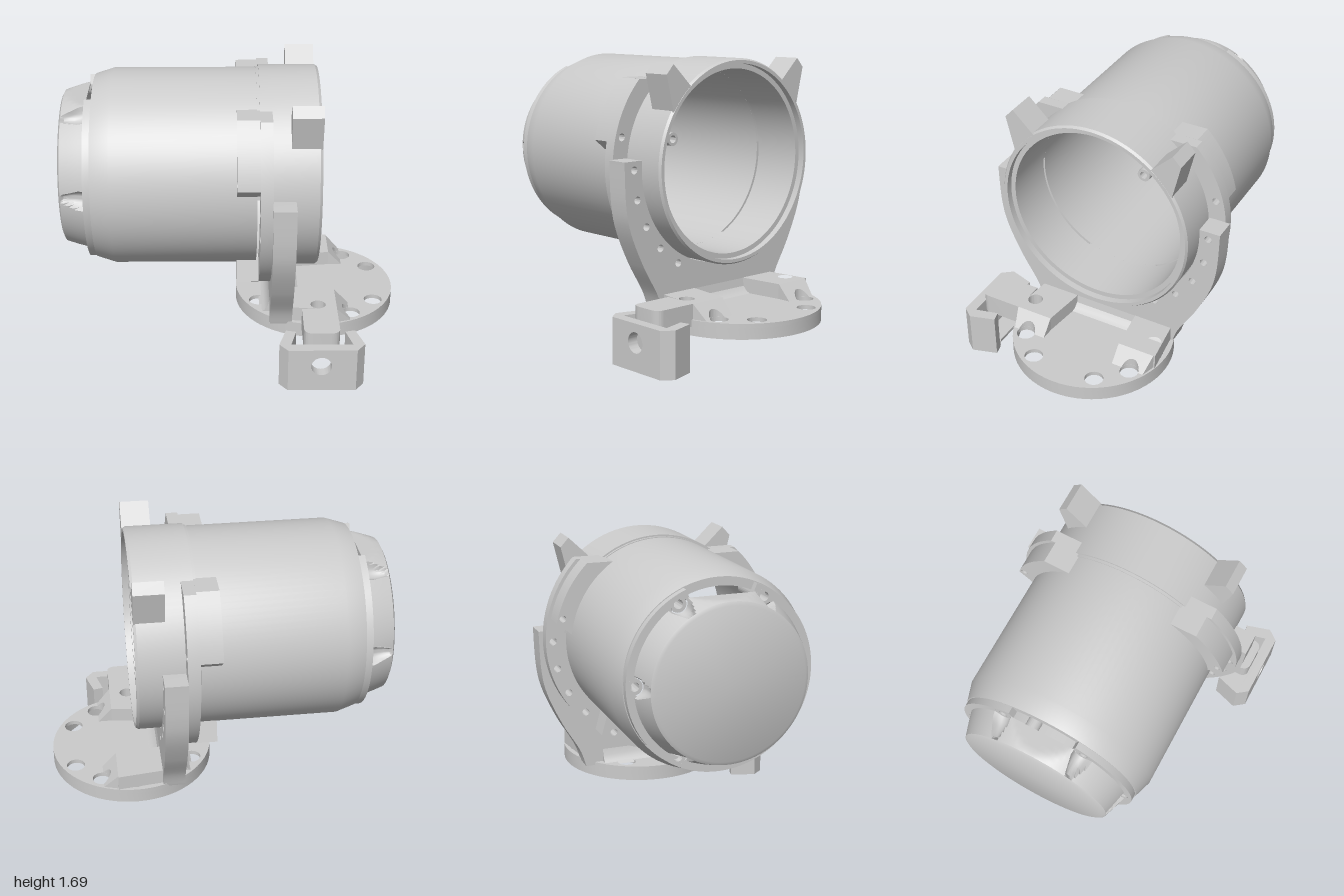
import * as THREE from 'three';
import { toCreasedNormals } from 'three/addons/utils/BufferGeometryUtils.js';

const AXIS_Y = 1.09, AXIS_Z = -0.03, PI = Math.PI;
const deg = (d) => d * PI / 180;
const mat = new THREE.MeshStandardMaterial({ color: 0xcccccc });

function add(parent, name, geo, crease = 0.5) {
  const mesh = new THREE.Mesh(toCreasedNormals(geo, crease), mat);
  mesh.name = name;
  parent.add(mesh);
  return mesh;
}

// Profile of [x, radius] points revolved about the x axis
function turned(points, segments = 96) {
  const pts = points.map(([x, r]) => new THREE.Vector2(r, x));
  return new THREE.LatheGeometry(pts, segments).rotateZ(-PI / 2);
}

// Shape in the cross plane (u across, v up), extruded from x0 to x1
function slab(shape, x0, x1) {
  return new THREE.ExtrudeGeometry(shape, { depth: x1 - x0, bevelEnabled: false, curveSegments: 48 })
    .rotateY(PI / 2).translate(x0, 0, 0);
}

// Shape in plan (x, z), extruded from y0 to y1
function plan(shape, y0, y1) {
  return new THREE.ExtrudeGeometry(shape, { depth: y1 - y0, bevelEnabled: false, curveSegments: 32 })
    .rotateX(PI / 2).translate(0, y1, 0);
}

// Side profile (x, y), extruded from z0 to z1
function prism(points, z0, z1) {
  return new THREE.ExtrudeGeometry(poly(points), { depth: z1 - z0, bevelEnabled: false }).translate(0, 0, z0);
}

function poly(points) {
  return new THREE.Shape(points.map(([a, b]) => new THREE.Vector2(a, b)));
}

function drill(shape, u, v, r) {
  shape.holes.push(new THREE.Path().absarc(u, v, r, 0, 2 * PI, true));
}

function drillCircle(shape, radius, r, angles) {
  for (const a of angles) drill(shape, radius * Math.cos(deg(a)), radius * Math.sin(deg(a)), r);
  return shape;
}

// Ring sector; the inner arc may end at other angles than the outer one
function sector(r0, r1, a0, a1, i0 = a0, i1 = a1) {
  return new THREE.Shape().absarc(0, 0, r1, deg(a0), deg(a1), false).absarc(0, 0, r0, deg(i1), deg(i0), true);
}

function disc(r, inner) {
  const s = new THREE.Shape().absarc(0, 0, r, 0, 2 * PI, false);
  if (inner) drill(s, 0, 0, inner);
  return s;
}

const mirrored = (angles) => [...angles, ...angles.map((a) => 180 - a)];
const screwAngles = [0, 60, 120, 180, 240, 300];

function makeHousing() {
  const g = new THREE.Group();
  g.name = 'housing';
  g.position.set(0, AXIS_Y, AXIS_Z);

  // Rear barrel and front ring, parted by a narrow slit
  add(g, 'barrel', turned([[-0.81, 0.5], [-0.81, 0.55], [-0.7, 0.585], [0.135, 0.585], [0.135, 0.54], [-0.81, 0.54]]));
  add(g, 'frontRing', turned([[0.15, 0.54], [0.15, 0.6], [0.485, 0.6], [0.5, 0.59], [0.5, 0.57],
    [0.46, 0.57], [0.46, 0.54], [0.15, 0.54]]));
  for (const [a0, a1] of [[5, 175], [245, 295]]) add(g, 'slitBridge', slab(sector(0.54, 0.59, a0, a1), 0.134, 0.151));

  // End cap: hollow, flat on top, with six rounded scallops for the screws
  const outer = [[-1, 0], [-1, 0.435], [-0.99, 0.455], [-0.97, 0.462], [-0.94, 0.472], [-0.91, 0.482],
    [-0.88, 0.491], [-0.85, 0.5]];
  const inner = [[-0.85, 0.485], [-0.9, 0.474], [-0.935, 0.455], [-0.955, 0.43], [-0.965, 0.39], [-0.965, 0]];
  const rows = outer.length + inner.length;
  const cap = turned([...outer, ...inner], 300);
  const p = cap.attributes.position;
  for (let i = 0; i < p.count; i++) {
    const x = p.getX(i), isInner = i % rows >= outer.length;
    let y = p.getY(i), z = p.getZ(i);
    const r = Math.hypot(y, z);
    if (r > 0.42) {
      const a = Math.atan2(y, z), step = PI / 3;
      const off = Math.abs(a - Math.round(a / step) * step) * r;
      const width = 0.055 * Math.sqrt(Math.min(1, Math.max(0, (x + 0.99) / 0.1)));
      if (off < width) {
        const k = 1 - Math.sqrt(width * width - off * off) / r;
        y *= k;
        z *= k;
      }
      y = Math.min(y, isInner ? 0.447 : 0.46);
    }
    p.setXYZ(i, x, y, z);
  }
  add(g, 'endCap', cap);

  // Shoulder ring, open at the top, notched around the screws
  const shoulder = new THREE.Shape().absarc(0, 0, 0.545, deg(112), deg(428), false);
  for (let a = 428; a >= 112; a -= 2) {
    const off = Math.abs(a - Math.round(a / 60) * 60);
    const r = off <= 4 ? 0.525 : 0.485;
    shoulder.lineTo(r * Math.cos(deg(a)), r * Math.sin(deg(a)));
  }
  add(g, 'shoulder', slab(shoulder, -0.85, -0.81));
  for (const a of screwAngles) {
    const boss = slab(disc(0.045, 0.026), -0.85, -0.6);
    add(g, 'screwBoss', boss.translate(0, 0.495 * Math.sin(deg(a)), 0.495 * Math.cos(deg(a))));
  }

  // Perforated flange, with thicker pads at the sides and bottom; upper ends are level
  const holes = [15, 0, -15, -30, -45, -60];
  const flange = drillCircle(sector(0.59, 0.705, 136, 404, 124, 416), 0.66, 0.022, mirrored(holes));
  add(g, 'flange', slab(flange, 0.15, 0.22));
  for (const [a0, a1, i0, i1, hole] of [[12, 45.7, 6, 59, 15], [134.3, 168, 121, 174, 165]]) {
    add(g, 'sidePad', slab(drillCircle(sector(0.57, 0.685, a0, a1, i0, i1), 0.655, 0.02, [hole]), 0.02, 0.15));
  }
  const bottom = drillCircle(sector(0.57, 0.71, 235, 305, 230, 310), 0.66, 0.022, [240, 300]);
  add(g, 'bottomPad', slab(bottom, 0.02, 0.15));

  // Two ears on the front ring
  for (const s of [1, -1]) {
    const ear = [[0.5, 0.32], [0.55, 0.53], [0.5, 0.585], [0.37, 0.46]].map(([u, v]) => [u * s, v]);
    add(g, 'ear', slab(poly(ear), 0.325, 0.499), 0.1);
  }
  return g;
}

function makeBracket() {
  const g = new THREE.Group();
  g.name = 'bracket';
  g.position.z = AXIS_Z;

  // U-shaped upright following the front ring
  const a = 0.08;
  const side = [[0.45, -0.85], [0.49, -0.735], [0.595, -0.555], [0.685, -0.355], [0.72, -0.19], [0.73, 0.05]]
    .map(([u, v]) => new THREE.Vector2(u, v));
  const u = new THREE.Shape();
  u.moveTo(side[0].x, side[0].y);
  u.splineThru(side.slice(1));
  u.lineTo(0.64, 0.05);
  u.absarc(0, 0, 0.605, a, PI - a, true);
  u.lineTo(-0.64, 0.05);
  u.lineTo(-0.73, 0.05);
  u.splineThru(side.slice(0, -1).reverse().map((q) => new THREE.Vector2(-q.x, q.y)));
  drillCircle(u, 0.66, 0.022, mirrored([0, -15, -30, -45, -60]));
  add(g, 'upright', slab(u, 0.22, 0.352).translate(0, AXIS_Y, 0));

  // Concave fillets where the upright meets the base
  add(g, 'frontFillet', prism([[0.34, 0.25], [0.43, 0.25], [0.385, 0.27], [0.36, 0.3], [0.35, 0.36]], -0.42, 0.42));
  add(g, 'rearFillet', prism([[0.23, 0.25], [0.22, 0.34], [0.21, 0.3], [0.19, 0.27], [0.16, 0.25]], -0.34, 0.34));

  // Round base: a thin drilled plate with a deep rim
  const bolts = mirrored([30, 60, -30, -60]).concat([90, -90]);
  add(g, 'base', plan(drillCircle(disc(0.49), 0.41, 0.055, bolts), 0.235, 0.26).translate(0.51, 0, 0));
  add(g, 'baseRim', plan(disc(0.49, 0.466), 0.17, 0.24).translate(0.51, 0, 0));

  // Raised bosses; their sloped fronts are cut away around the bolt holes
  for (const s of [1, -1]) {
    const top = poly([[0.34, 0.2 * s], [0.62, 0.235 * s], [0.62, 0.475 * s], [0.34, 0.44 * s]]);
    drill(top, 0.51, 0.41 * s, 0.045);
    add(g, 'baseBoss', plan(top, 0.255, 0.35));

    const wedge = poly([[0.62, 0.235 * s], [0.705, 0.235 * s]]);
    wedge.absarc(0.715, 0.355 * s, 0.056, deg(-100 * s), deg(100 * s), s > 0);
    wedge.lineTo(0.705, 0.44 * s);
    wedge.lineTo(0.62, 0.465 * s);
    const slope = plan(wedge, 0.255, 0.35), p = slope.attributes.position;
    for (let i = 0; i < p.count; i++) {
      if (p.getY(i) > 0.3) p.setY(i, 0.35 - (p.getX(i) - 0.62) * 1.06);
    }
    add(g, 'bossSlope', slope);
  }
  return g;
}

function makeSideClip() {
  const g = new THREE.Group();
  g.name = 'sideClip';

  // Arm reaching out from the base
  const arm = new THREE.Shape();
  arm.moveTo(0.41, 0.43);
  arm.lineTo(0.62, 0.43);
  arm.lineTo(0.62, 0.65);
  arm.quadraticCurveTo(0.62, 0.695, 0.57, 0.7);
  arm.lineTo(0.46, 0.7);
  arm.quadraticCurveTo(0.41, 0.695, 0.41, 0.65);
  add(g, 'arm', plan(arm, 0.22, 0.35));

  // Drilled front plate, two angled wings and a thin floor
  const front = poly([[0.315, 0], [0.715, 0], [0.715, 0.275], [0.315, 0.275]]);
  drill(front, 0.51, 0.165, 0.06);
  add(g, 'clipFront', new THREE.ExtrudeGeometry(front, { depth: 0.065, bevelEnabled: false, curveSegments: 24 })
    .translate(0, 0, 0.7));
  for (const s of [1, -1]) {
    const wing = [[0.2, 0.765], [0.25, 0.7], [0.205, 0.55], [0.145, 0.565], [0.18, 0.7]];
    add(g, 'clipWing', plan(poly(wing.map(([x, z]) => [0.515 + s * x, z])), 0, 0.275), 0.1);
  }
  const floor = poly([[0.37, 0.565], [0.41, 0.585], [0.62, 0.585], [0.66, 0.565], [0.695, 0.7], [0.335, 0.7]]);
  add(g, 'clipFloor', plan(floor, 0, 0.02));
  return g;
}

export function createModel() {
  const model = new THREE.Group();
  model.name = 'mountedHousing';
  model.add(makeHousing(), makeBracket(), makeSideClip());
  return model;
}
